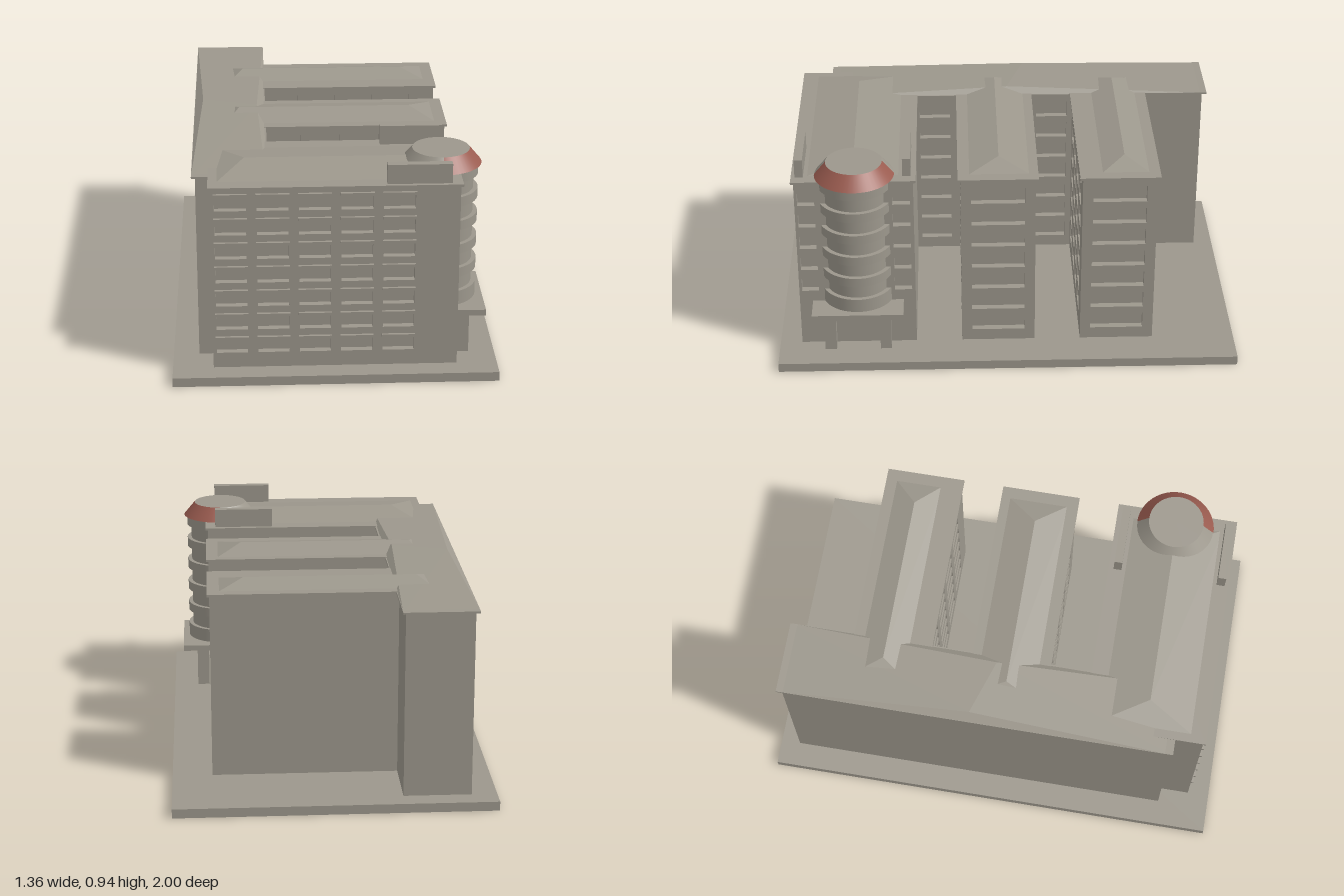
import * as THREE from 'three';
import { ConvexGeometry } from 'three/addons/geometries/ConvexGeometry.js';

const GROUND = 0.04, TOP = 0.845, FLOOR = 0.1065, DEPTH = 0.03;

export function createModel() {
  const model = new THREE.Group();
  const concrete = new THREE.MeshStandardMaterial({ color: 0x9c978c });
  concrete.name = 'warm grey concrete';
  const brick = new THREE.MeshStandardMaterial({ color: 0x9b5c50 });
  brick.name = 'brick red';

  const add = (name, geometry, parent = model, material = concrete) => {
    const mesh = new THREE.Mesh(geometry, material);
    mesh.name = name;
    parent.add(mesh);
    return mesh;
  };
  // Box given by its limits
  const block = (name, x0, x1, y0, y1, z0, z1, parent = model) => {
    const mesh = add(name, new THREE.BoxGeometry(x1 - x0, y1 - y0, z1 - z0), parent);
    mesh.position.set((x0 + x1) / 2, (y0 + y1) / 2, (z0 + z1) / 2);
    return mesh;
  };
  const convex = (name, points, parent = model) =>
    add(name, new ConvexGeometry(points.map(p => new THREE.Vector3(...p))), parent);

  // Wall plate with window openings: columns are [u0, u1], rows are bottom heights
  const windowWall = (name, u0, u1, columns, rows, height, parent) => {
    const shape = new THREE.Shape();
    shape.moveTo(u0, GROUND).lineTo(u1, GROUND).lineTo(u1, TOP).lineTo(u0, TOP).closePath();
    for (const [a, b] of columns) for (const y of rows) {
      const hole = new THREE.Path();
      hole.moveTo(a, y).lineTo(a, y + height).lineTo(b, y + height).lineTo(b, y).closePath();
      shape.holes.push(hole);
    }
    return add(name, new THREE.ExtrudeGeometry(shape, { depth: DEPTH, bevelEnabled: false }), parent);
  };
  // The same plate facing +x, with spans given in z
  const sideWall = (name, x, z0, z1, spans, rows, height, parent) => {
    const wall = windowWall(name, -z1, -z0, spans.map(([a, b]) => [-b, -a]), rows, height, parent);
    wall.rotation.y = Math.PI / 2;
    wall.position.x = x - DEPTH;
  };
  const rowsFrom = (y, n) => Array.from({ length: n }, (_, i) => y + i * FLOOR);
  const around = (start, step, n, w) =>
    Array.from({ length: n }, (_, i) => [start + i * step - w / 2, start + i * step + w / 2]);

  // Ground slab
  block('groundSlab', -0.68, 0.68, 0, GROUND, -1, 1);

  // Wings: windowed front and end walls over a solid core, with eaves and a hipped roof
  const frontRows = rowsFrom(0.107, 7), endRows = rowsFrom(0.0925, 7);
  const wings = [
    { name: 'frontWing', x0: -0.51, z0: 0.4, z1: 0.905, cols: around(-0.43, 0.173, 5, 0.13),
      ends: [[0.415, 0.49], [0.82, 0.893]], rows: rowsFrom(0.307, 5), h: 0.06,
      hip: [-0.49, 0.47, 0.45, 0.86], ridge: [-0.37, 0.36] },
    { name: 'middleWing', x0: -0.3, z0: -0.12, z1: 0.2, cols: around(-0.185, 0.172, 4, 0.13),
      ends: [[-0.075, 0.155]], rows: endRows, h: 0.075,
      hip: [-0.45, 0.475, -0.1, 0.17], ridge: [-0.39, 0.365] },
    { name: 'backWing', x0: -0.3, z0: -0.64, z1: -0.32, cols: around(-0.185, 0.172, 4, 0.13),
      ends: [[-0.595, -0.365]], rows: endRows, h: 0.075,
      hip: [-0.44, 0.475, -0.61, -0.4], ridge: [-0.37, 0.365] },
  ];
  for (const w of wings) {
    const wing = new THREE.Group();
    wing.name = w.name;
    model.add(wing);
    const inner = 0.51 - DEPTH;
    block('core', w.x0, inner, GROUND, TOP, w.z0, w.z1 - DEPTH, wing);
    windowWall('frontWall', w.x0, inner, w.cols, frontRows, 0.063, wing).position.z = w.z1 - DEPTH;
    sideWall('endWall', 0.51, w.z0, w.z1, w.ends, w.rows, w.h, wing);
    block('eaves', w.x0 - 0.01, 0.52, 0.842, 0.852, w.z0 - 0.012, w.z1 + 0.012, wing);
    const [hx0, hx1, hz0, hz1] = w.hip, zr = (hz0 + hz1) / 2;
    convex('hippedRoof', [
      [hx0, 0.85, hz0], [hx1, 0.85, hz0], [hx0, 0.85, hz1], [hx1, 0.85, hz1],
      [w.ridge[0], 0.883, zr], [w.ridge[1], 0.883, zr],
    ], wing);
  }

  // Window hoods on the main front
  for (const [a, b] of wings[0].cols) for (const y of frontRows)
    block('windowHood', a - 0.004, b + 0.004, y + 0.063, y + 0.076, 0.9, 0.918);

  // Long spine joining the wings, with windows toward the two courtyards
  const spine = new THREE.Group();
  spine.name = 'spine';
  model.add(spine);
  block('core', -0.572, -0.315, GROUND, TOP, -0.915, 0.775, spine);
  block('backCorner', -0.315, -0.285, GROUND, TOP, -0.915, -0.64, spine);
  sideWall('courtyardWall', -0.285, 0.2, 0.4, [[0.24, 0.38]], endRows, 0.075, spine);
  sideWall('courtyardWall', -0.285, -0.32, -0.12, [[-0.295, -0.155]], endRows, 0.075, spine);
  block('eaves', -0.588, -0.272, 0.842, 0.85, -0.935, 0.785, spine);
  convex('foldedRoof', [
    [-0.588, 0.849, -0.935], [-0.272, 0.849, -0.935], [-0.588, 0.849, 0.78], [-0.28, 0.849, 0.42],
    [-0.28, 0.849, 0.78], [-0.55, 0.876, -0.1], [-0.31, 0.876, -0.02],
  ], spine);

  // Roof parapets on both sides of the tower
  block('roofParapet', 0.21, 0.475, 0.845, 0.935, 0.41, 0.445);
  block('roofParapet', 0.21, 0.475, 0.845, 0.935, 0.865, 0.9);

  // Round stair tower: narrow drum with wider bands
  const tower = new THREE.Group();
  tower.name = 'tower';
  tower.position.set(0.45, 0, 0.65);
  model.add(tower);
  const drum = (name, r, y0, y1) => {
    add(name, new THREE.CylinderGeometry(r, r, y1 - y0, 48), tower).position.y = (y0 + y1) / 2;
  };
  drum('drum', 0.138, 0.25, 0.855);
  for (let i = 0; i < 6; i++)
    drum('band', 0.157, i ? 0.276 + i * FLOOR : 0.256, Math.min(0.318 + i * FLOOR, 0.853));

  // Tapered cap, red on the outer half, closed above and below
  const half = start => new THREE.CylinderGeometry(0.12, 0.17, 0.06, 24, 1, true, start, Math.PI);
  add('capOuterHalf', half(0), tower, brick).position.y = 0.884;
  add('capInnerHalf', half(Math.PI), tower).position.y = 0.884;
  for (const [name, r, y, turn] of [['capTop', 0.12, 0.914, -1], ['capSoffit', 0.17, 0.854, 1]]) {
    const disc = add(name, new THREE.CircleGeometry(r, 48), tower);
    disc.rotation.x = turn * Math.PI / 2;
    disc.position.y = y;
  }

  // Entrance canopy and its posts
  block('canopy', 0.42, 0.635, 0.23, 0.256, 0.453, 0.848);
  block('canopyPost', 0.515, 0.57, GROUND, 0.23, 0.75, 0.8);
  block('canopyPost', 0.515, 0.57, GROUND, 0.23, 0.51, 0.558);

  return model;
}
